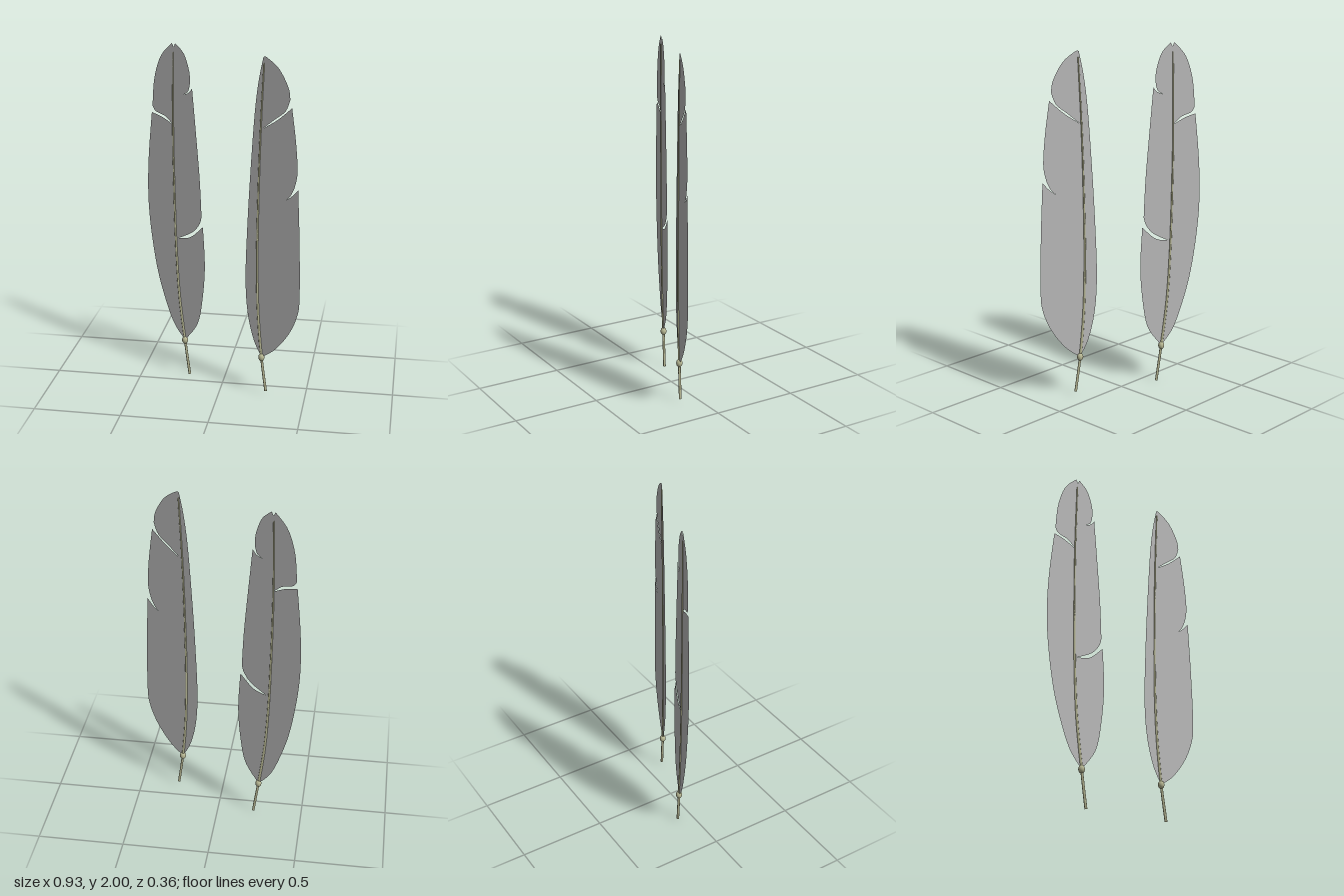
import * as THREE from 'three';

const vaneGrey = new THREE.MeshStandardMaterial({ color: 0xb8b8b8, side: THREE.DoubleSide });
vaneGrey.name = 'vaneGrey';
const quillBeige = new THREE.MeshStandardMaterial({ color: 0xb8b894 });
quillBeige.name = 'quillBeige';

const YAW = -0.365; // both feathers are turned the same way about y

// Outline made of smooth runs that meet at sharp corners.
function vaneGeometry(runs, toLocal) {
  const shape = new THREE.Shape();
  runs.forEach((run, i) => {
    const pts = run.map(toLocal);
    if (i === 0) shape.moveTo(pts[0].x, pts[0].y);
    shape.splineThru(pts.slice(1));
  });
  return new THREE.ShapeGeometry(shape, 5);
}

// Tube that tapers from r0 at its foot to r1 at its tip.
function taperedTube(points, r0, r1) {
  const curve = new THREE.CatmullRomCurve3(points);
  const rows = 48, sides = 8;
  const geo = new THREE.TubeGeometry(curve, rows, 1, sides, false);
  const pos = geo.attributes.position, v = new THREE.Vector3();
  for (let i = 0; i <= rows; i++) {
    const c = curve.getPointAt(i / rows);
    const r = THREE.MathUtils.lerp(r0, r1, i / rows);
    for (let j = 0; j <= sides; j++) {
      const k = i * (sides + 1) + j;
      v.fromBufferAttribute(pos, k).sub(c).multiplyScalar(r).add(c);
      pos.setXYZ(k, v.x, v.y, v.z);
    }
  }
  return geo;
}

function feather(name, origin, runs, shaftPoints) {
  const g = new THREE.Group();
  g.name = name;
  g.position.set(origin[0], 0, origin[1]);
  g.rotation.y = YAW;
  // widths are given across x, so stretch them along the turned plane
  const toLocal = ([x, y]) => new THREE.Vector2((x - origin[0]) / Math.cos(YAW), y);
  const add = (part, geo, mat) => {
    const m = new THREE.Mesh(geo, mat);
    m.name = part;
    g.add(m);
    return m;
  };
  add('vane', vaneGeometry(runs, toLocal), vaneGrey);
  const pts = shaftPoints.map((p) => { const q = toLocal(p); return new THREE.Vector3(q.x, q.y, 0); });
  add('shaft', taperedTube(pts, 0.008, 0.004), quillBeige);
  // bead where the vane meets the bare quill
  const bead = add('bead', new THREE.SphereGeometry(0.018, 16, 12), quillBeige);
  bead.scale.y = 1.3;
  bead.position.set(pts[1].x, pts[1].y, 0);
  return g;
}

export function createModel() {
  const model = new THREE.Group();
  model.name = 'feathers';

  model.add(feather('rightFeather', [-0.242, -0.095], [
    // outer edge, from the foot up to the split
    [[-0.242, 0.22], [-0.31, 0.31], [-0.362, 0.44], [-0.415, 0.63], [-0.452, 0.865], [-0.468, 1.08], [-0.461, 1.32], [-0.435, 1.59]],
    [[-0.435, 1.59], [-0.37, 1.571], [-0.305, 1.537]],
    [[-0.305, 1.537], [-0.35, 1.578], [-0.41, 1.6], [-0.43, 1.63]],
    [[-0.43, 1.63], [-0.415, 1.79], [-0.373, 1.92], [-0.304, 2.0]],
    // notched tip
    [[-0.304, 2.0], [-0.293, 1.978]],
    [[-0.293, 1.978], [-0.283, 2.0]],
    // inner edge, back down past two splits
    [[-0.283, 2.0], [-0.23, 1.945], [-0.198, 1.845], [-0.197, 1.77]],
    [[-0.197, 1.77], [-0.21, 1.735], [-0.241, 1.714]],
    [[-0.241, 1.714], [-0.205, 1.73], [-0.183, 1.757]],
    [[-0.183, 1.757], [-0.161, 1.5], [-0.14, 1.235], [-0.13, 1.013]],
    [[-0.13, 1.013], [-0.145, 0.965], [-0.19, 0.91], [-0.277, 0.86]],
    [[-0.277, 0.86], [-0.2, 0.88], [-0.122, 0.955]],
    [[-0.122, 0.955], [-0.111, 0.71], [-0.129, 0.49], [-0.161, 0.34], [-0.242, 0.22]],
  ], [[-0.213, 0.005], [-0.242, 0.22], [-0.275, 0.5], [-0.292, 0.8], [-0.3, 1.15], [-0.303, 1.5], [-0.296, 1.95]]));

  model.add(feather('leftFeather', [0.243, 0.095], [
    // unbroken edge
    [[0.243, 0.232], [0.193, 0.335], [0.156, 0.495], [0.142, 0.705], [0.151, 1.025], [0.167, 1.34], [0.188, 1.66], [0.209, 1.845], [0.235, 1.98]],
    [[0.235, 1.98], [0.255, 1.98], [0.325, 1.925], [0.378, 1.83], [0.389, 1.765]],
    // two splits on the wide side
    [[0.389, 1.765], [0.363, 1.7], [0.3, 1.645], [0.235, 1.588]],
    [[0.235, 1.588], [0.32, 1.648], [0.4, 1.723]],
    [[0.4, 1.723], [0.426, 1.53], [0.437, 1.37], [0.421, 1.28]],
    [[0.421, 1.28], [0.4, 1.235], [0.373, 1.204]],
    [[0.373, 1.204], [0.41, 1.235], [0.443, 1.275]],
    [[0.443, 1.275], [0.457, 0.97], [0.464, 0.655], [0.452, 0.535], [0.405, 0.415], [0.325, 0.3], [0.243, 0.232]],
  ], [[0.271, 0.025], [0.243, 0.232], [0.22, 0.5], [0.211, 0.8], [0.214, 1.2], [0.224, 1.6], [0.239, 1.95]]));

  return model;
}
